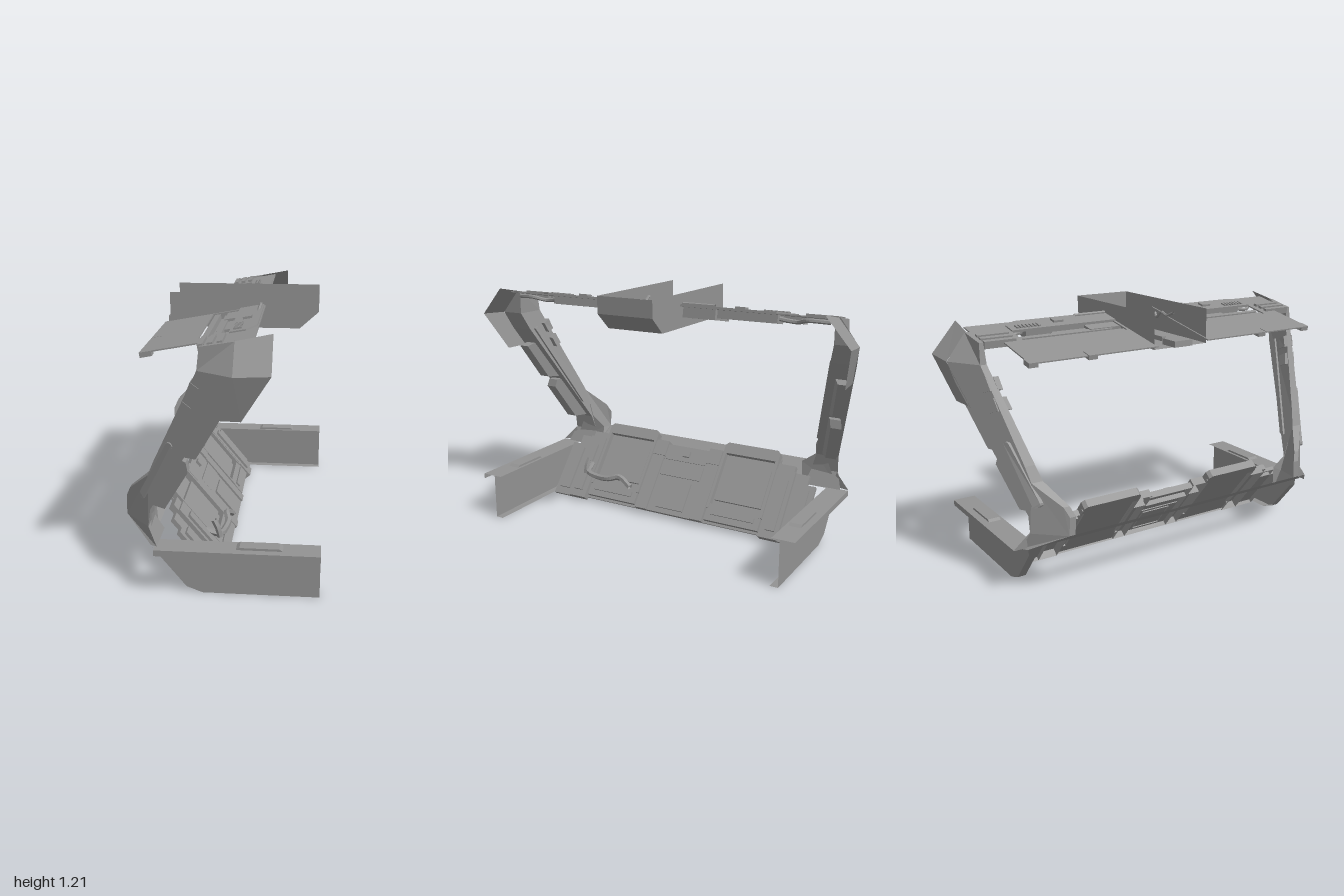
import * as THREE from 'three';

const mat = new THREE.MeshStandardMaterial({ color: 0x929292, flatShading: true, side: THREE.DoubleSide });

function add(parent, name, geo) {
  const m = new THREE.Mesh(geo, mat);
  m.name = name;
  parent.add(m);
  return m;
}
function group(parent, name) {
  const g = new THREE.Group();
  g.name = name;
  parent.add(g);
  return g;
}
// box from its min and max on each axis
const boxGeo = (x0, x1, y0, y1, z0, z1) => new THREE.BoxGeometry(x1 - x0, y1 - y0, z1 - z0)
  .translate((x0 + x1) / 2, (y0 + y1) / 2, (z0 + z1) / 2);
const box = (parent, name, ...b) => add(parent, name, boxGeo(...b));
const shapeOf = (pts) => new THREE.Shape(pts.map((p) => new THREE.Vector2(p[0], p[1])));
// side profile extruded from z0 to z1, with z then set by a rule
function prism(parent, name, pts, z0, z1, rule) {
  const geo = new THREE.ExtrudeGeometry(shapeOf(pts), { depth: z1 - z0, bevelEnabled: false }).translate(0, 0, z0);
  const p = geo.attributes.position;
  for (let i = 0; i < p.count; i++) p.setZ(i, rule(p.getX(i), p.getY(i), p.getZ(i)));
  geo.computeVertexNormals();
  return add(parent, name, geo);
}
// flat plan outline (x, z) with a given thickness below height y
const slab = (parent, name, shape, depth, y) =>
  add(parent, name, new THREE.ExtrudeGeometry(shape, { depth, bevelEnabled: false }).rotateX(Math.PI / 2).translate(0, y, 0));
// thin flat polygon
function sheet(parent, name, pts) {
  const a = [];
  for (let i = 1; i < pts.length - 1; i++) a.push(...pts[0], ...pts[i], ...pts[i + 1]);
  const geo = new THREE.BufferGeometry();
  geo.setAttribute('position', new THREE.Float32BufferAttribute(a, 3));
  geo.computeVertexNormals();
  return add(parent, name, geo);
}
// strip swept along a side profile between two z values
function strip(parent, name, pts, z0, z1) {
  for (let i = 0; i < pts.length - 1; i++) {
    const [a, b] = [pts[i], pts[i + 1]];
    sheet(parent, name, [[...a, z0], [...a, z1], [...b, z1], [...b, z0]]);
  }
}
function tube(parent, name, pts, r) {
  const curve = new THREE.CatmullRomCurve3(pts.map((p) => new THREE.Vector3(...p)));
  return add(parent, name, new THREE.TubeGeometry(curve, 24, r, 6));
}

// outer and inner faces of the leaning post
const outer = (x, y) => 0.80 + 0.62 * (x + 0.28) - 0.07 * (y - 0.62) - 0.55 * Math.max(0, -0.33 - x);
const inner = (x, y) => Math.min(0.70 + 0.29 * (y - 0.43), outer(x, y) - 0.03);
const onOuter = (x, y, z) => outer(x, y) + z;
const onInner = (x, y, z) => inner(x, y) + z;
const between = (x, y, t) => THREE.MathUtils.lerp(inner(x, y), outer(x, y), t);
const headRule = (x, y, t) => THREE.MathUtils.lerp(inner(x, 1.03),
  Math.max(outer(x, 1.03) - (y - 1.03) * 0.75, inner(x, 1.03) + 0.02), t);

function buildPost(side) {
  const post = group(side, 'post');
  prism(post, 'postBeam', [[-0.43, 0.31], [-0.30, 0.23], [-0.27, 0.23], [-0.31, 0.31], [-0.30, 0.39], [0.03, 0.94], [0.07, 1.03],
    [-0.08, 1.03], [-0.28, 0.61], [-0.31, 0.54], [-0.41, 0.44], [-0.43, 0.395]], 0, 1, between);
  prism(post, 'postHead', [[-0.08, 1.03], [0.07, 1.03], [0.07, 1.15], [-0.07, 1.125]], 0, 1, headRule);
  // padded rails along the inner edge
  prism(post, 'lowerRail', [[-0.31, 0.40], [-0.235, 0.40], [-0.125, 0.59], [-0.135, 0.63], [-0.17, 0.64]], -0.085, -0.03, onOuter);
  prism(post, 'upperRail', [[-0.15, 0.65], [-0.09, 0.655], [0.015, 0.84], [-0.03, 0.86]], -0.085, -0.03, onOuter);
  prism(post, 'innerRib', [[-0.27, 0.49], [-0.245, 0.49], [0.0, 0.94], [-0.025, 0.95]], -0.012, 0, onInner);
  // raised light strip and switch blocks
  const a = new THREE.Vector2(-0.335, 0.45), b = new THREE.Vector2(-0.205, 0.695), cap = [];
  const dir = Math.atan2(b.y - a.y, b.x - a.x);
  for (let i = 0; i < 12; i++) {
    const c = i < 6 ? b : a, t = dir - Math.PI / 2 + (i < 6 ? i : i - 1) * Math.PI / 5;
    cap.push([c.x + 0.016 * Math.cos(t), c.y + 0.016 * Math.sin(t)]);
  }
  prism(post, 'lightStrip', cap, -0.004, 0.012, onOuter);
  for (const [x, y] of [[-0.105, 0.945], [-0.14, 0.86]]) {
    const block = [[x - 0.025, y - 0.02], [x + 0.015, y - 0.035], [x + 0.035, y + 0.015], [x - 0.003, y + 0.035]];
    prism(post, 'switchBlock', block, -0.002, 0.005, onOuter);
    prism(post, 'switchBlock', block, -0.025, 0.0, onInner);
  }
  sheet(post, 'footFin', [[-0.30, 0.235, 0.78], [-0.28, 0.235, 0.87], [-0.30, 0.31, 0.80]]);
  sheet(post, 'footGusset', [[-0.30, 0.24, 0.80], [-0.30, 0.24, 0.62], [-0.31, 0.335, 0.61], [-0.31, 0.39, 0.685], [-0.31, 0.46, 0.705]]);
  // flared outer panel, folded at mid height
  sheet(post, 'upperFlare', [[0.07, 1.03, 0.99], [0.22, 1.04, 1.0], [0.22, 1.18, 0.88], [0.07, 1.15, 0.89]]);
  sheet(post, 'lowerFlare', [[0.07, 1.03, 0.99], [-0.04, 0.84, 0.935], [0.10, 0.84, 0.945], [0.22, 1.04, 1.0]]);
}

function buildArm(side) {
  const arm = group(side, 'arm');
  const under = [[-0.28, 0.19], [-0.15, 0.03], [-0.08, 0.003], [0.43, 0.003]];
  sheet(arm, 'armWall', [...under, [0.43, 0.232], [-0.28, 0.232]].map((p) => [...p, 0.80]));
  strip(arm, 'armUnderside', [...under].reverse(), 0.76, 0.80);
  strip(arm, 'armTop', [[-0.28, 0.232], [0.43, 0.232]], 0.76, 0.87);
  sheet(arm, 'armLip', [[-0.28, 0.232, 0.87], [-0.28, 0.205, 0.87], [0.43, 0.205, 0.87], [0.43, 0.232, 0.87]]);
  prism(arm, 'armPad', [[0.07, 0.232], [0.27, 0.232], [0.255, 0.242], [0.085, 0.242]], 0.775, 0.835, (x, y, z) => z);
}

function buildRoof(side) {
  const roof = group(side, 'roof');
  roof.position.y = 1.132;
  roof.rotation.z = 0.184;
  // plate with edge notch and a long recessed channel
  const plate = shapeOf([[-0.335, 0.14], [0.15, 0.14], [0.15, 0.87], [-0.05, 0.87], [-0.07, 0.78], [-0.335, 0.78],
    [-0.335, 0.505], [-0.285, 0.505], [-0.285, 0.455], [-0.335, 0.455]]);
  plate.holes.push(shapeOf([[-0.10, 0.16], [-0.10, 0.69], [0.03, 0.69], [0.03, 0.16]]));
  slab(roof, 'roofPlate', plate, 0.006, 0);
  box(roof, 'channelFloor', -0.10, 0.03, -0.036, -0.03, 0.16, 0.69);
  box(roof, 'roofRail', -0.092, -0.065, -0.032, -0.006, 0.16, 0.69);
  box(roof, 'roofRail', -0.04, -0.015, -0.032, -0.01, 0.20, 0.69);
  box(roof, 'railCover', -0.05, 0.02, -0.032, -0.018, 0.30, 0.50);
  for (const z of [0.455, 0.74]) box(roof, 'roofTab', -0.335, -0.285, -0.022, 0, z, z + 0.045);
  // raised chamfered panel with vents
  slab(roof, 'roofPanel', shapeOf([[0.03, 0.14], [0.145, 0.14], [0.145, 0.63], [0.10, 0.69], [0.03, 0.69]]), 0.01, 0.006);
  for (let i = 0; i < 7; i++) box(roof, 'ventSlat', 0.045, 0.08, 0.006, 0.013, 0.54 + i * 0.018, 0.55 + i * 0.018);
  box(roof, 'roofSwitch', 0.07, 0.11, 0.006, 0.016, 0.41, 0.46);
  tube(roof, 'roofRod', [[0.13, 0.008, 0.15], [0.13, 0.008, 0.23], [0.13, 0.008, 0.32]], 0.009);
  // housings below
  box(roof, 'lowerHousing', 0.03, 0.10, -0.045, -0.006, 0.32, 0.62);
  box(roof, 'lowerHousing', -0.03, 0.12, -0.055, -0.006, 0.15, 0.32);
  // clamps joining the roof to the post
  for (const x of [-0.07, -0.03, 0.01]) box(roof, 'roofClamp', x - 0.01, x + 0.012, -0.022, 0.012, 0.72, 0.87);
  tube(roof, 'roofPipe', [[0.08, -0.02, 0.60], [0.06, -0.03, 0.70], [0.1, -0.02, 0.76], [0.08, -0.02, 0.86]], 0.01);
}

// dashboard facing, open at the back: local y runs up the slope, local x points out of its face
function buildDash(root) {
  const dash = group(root, 'dashboard');
  dash.position.set(0.03, 0.03, 0);
  dash.rotation.z = 0.69;
  const panel = (parent, name, y0, y1, z0, z1, d0, d1) => {
    const geo = boxGeo(d0, d1, (y0 - 0.03) / 0.77, (y1 - 0.03) / 0.77, z0, z1);
    geo.setIndex([...geo.index.array].filter((_, i) => i < 6 || i > 11));
    add(parent, name, geo);
  };
  panel(dash, 'centrePanel', 0.04, 0.33, -0.13, 0.13, -0.04, -0.015);
  panel(dash, 'centreCover', 0.06, 0.18, -0.08, 0.08, -0.02, -0.005);
  panel(dash, 'centreShelf', 0.20, 0.26, -0.12, 0.12, -0.02, -0.008);
  panel(dash, 'centreTop', 0.27, 0.335, -0.125, 0.125, -0.04, -0.01);
  panel(dash, 'centreKnob', 0.29, 0.315, -0.02, 0.02, -0.01, 0.004);
  const half = group(dash, 'dashHalf');
  panel(half, 'divider', 0.04, 0.28, 0.13, 0.20, -0.04, -0.005);
  panel(half, 'dividerHead', 0.28, 0.345, 0.125, 0.20, -0.04, 0.0);
  panel(half, 'screenBack', 0.04, 0.36, 0.20, 0.52, -0.04, -0.03);
  panel(half, 'screen', 0.14, 0.30, 0.23, 0.49, -0.03, -0.015);
  panel(half, 'screenSill', 0.05, 0.12, 0.21, 0.51, -0.03, -0.005);
  panel(half, 'sillTrim', 0.075, 0.095, 0.24, 0.48, -0.01, 0.004);
  for (const z of [0.205, 0.50]) panel(half, 'screenFrame', 0.10, 0.36, z, z + 0.015, -0.04, 0.0);
  // chamfered hood above the screen
  const hood = [[0.205, 0.40], [0.515, 0.40], [0.515, 0.445], [0.50, 0.46], [0.22, 0.46], [0.205, 0.445]];
  add(half, 'screenHood', new THREE.ExtrudeGeometry(shapeOf(hood), { depth: 0.04, bevelEnabled: false }).rotateY(-Math.PI / 2));
  panel(half, 'outerPanel', 0.03, 0.31, 0.52, 0.62, -0.04, 0.0);
  panel(half, 'outerTrim', 0.06, 0.27, 0.55, 0.60, 0.0, 0.012);
  panel(half, 'outerHead', 0.31, 0.335, 0.52, 0.61, -0.04, -0.01);
  panel(half, 'endPanel', 0.03, 0.27, 0.62, 0.735, -0.04, -0.02);
  panel(half, 'endHead', 0.27, 0.31, 0.62, 0.69, -0.04, -0.02);
  panel(half, 'endCover', 0.06, 0.25, 0.645, 0.71, -0.02, -0.008);
  const other = half.clone();
  other.scale.z = -1;
  dash.add(other);
  // control lever across one screen
  tube(dash, 'controlLever', [[0, 0.20, 0.55], [0.035, 0.14, 0.53], [0.04, 0.12, 0.45], [0.05, 0.12, 0.38], [0.05, 0.14, 0.32], [0.04, 0.10, 0.24]], 0.016);
  tube(dash, 'leverGrip', [[0.03, 0.13, 0.545], [0.05, 0.17, 0.545], [0.06, 0.21, 0.54]], 0.014);
}

function buildConsole(root) {
  const con = group(root, 'overheadConsole');
  const floor = [[-0.305, 1.05], [0.31, 1.05], [0.398, 1.13], [0.398, 1.213]];
  for (const z of [-0.147, 0.147]) sheet(con, 'consoleWall', [...floor, [-0.305, 1.213]].map((p) => [...p, z]));
  strip(con, 'consoleFloor', [...floor].reverse(), -0.147, 0.147);
  box(con, 'floorBar', -0.17, 0.17, 1.053, 1.075, -0.012, 0.012);
  box(con, 'floorBox', 0.21, 0.32, 1.063, 1.085, -0.05, 0.05);
  box(con, 'rearLatch', -0.33, -0.23, 1.053, 1.082, -0.05, 0.05);
  tube(con, 'cable', [[-0.05, 1.16, 0.14], [0, 1.14, 0.135], [0.05, 1.15, 0.135], [0.09, 1.12, 0.135], [0.11, 1.14, 0.14]], 0.007);
}

export function createModel() {
  const root = new THREE.Group();
  root.name = 'cockpitFrame';
  const left = group(root, 'sideAssembly');
  buildPost(left);
  buildArm(left);
  buildRoof(left);
  const mirrored = left.clone();
  mirrored.scale.z = -1;
  root.add(mirrored);
  // sill joining the post feet
  sheet(root, 'lowerSill', [[-0.43, 0.31, -0.65], [-0.30, 0.23, -0.78], [-0.30, 0.23, 0.78], [-0.43, 0.31, 0.65]]);
  buildDash(root);
  buildConsole(root);
  return root;
}
